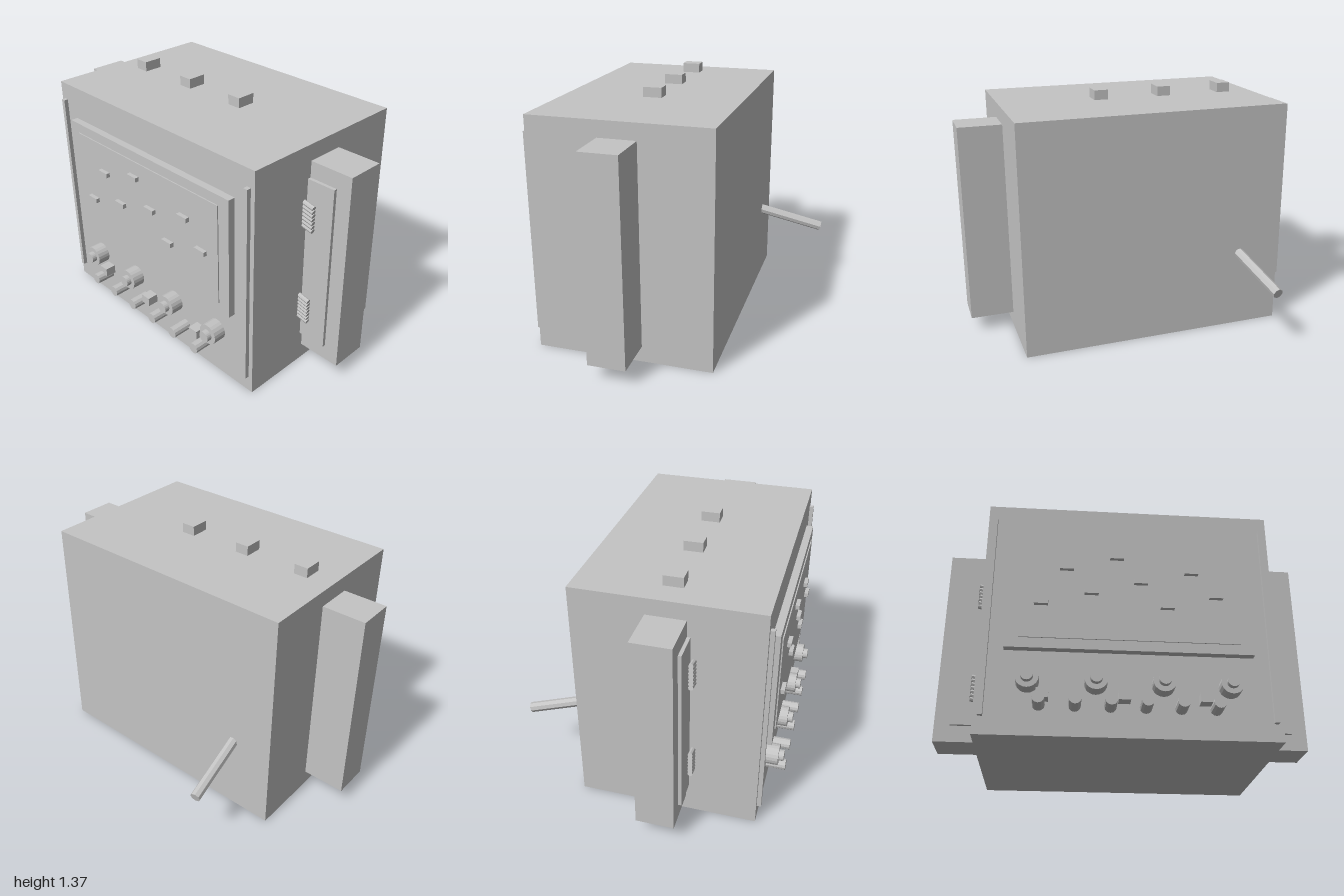
import * as THREE from 'three';

const grey = new THREE.MeshStandardMaterial({ color: 0xc4c4c4 });
grey.name = 'plain grey';
grey.flatShading = true;

export function createModel() {
  const group = new THREE.Group();

  function add(name, geometry) {
    const mesh = new THREE.Mesh(geometry, grey);
    mesh.name = name;
    group.add(mesh);
    return mesh;
  }
  // Box given by its limits on each axis
  function box(name, x0, x1, y0, y1, z0, z1) {
    const mesh = add(name, new THREE.BoxGeometry(x1 - x0, y1 - y0, z1 - z0));
    mesh.position.set((x0 + x1) / 2, (y0 + y1) / 2, (z0 + z1) / 2);
    return mesh;
  }
  // Cylinder between two points
  function rod(name, a, b, radius, sides) {
    const from = new THREE.Vector3(...a), to = new THREE.Vector3(...b);
    const dir = to.clone().sub(from);
    const mesh = add(name, new THREE.CylinderGeometry(radius, radius, dir.length(), sides));
    mesh.position.copy(from).add(to).multiplyScalar(0.5);
    mesh.quaternion.setFromUnitVectors(new THREE.Vector3(0, 1, 0), dir.normalize());
    return mesh;
  }

  const front = 0.629;

  // Cabinet
  box('cabinet', -0.757, 0.757, 0, 1.31, -0.356, front);

  // Blocks on the top
  for (const x of [-0.58, -0.2, 0.18]) {
    box('topBlock', x - 0.04, x + 0.04, 1.31, 1.365, 0.085, 0.19);
  }

  // Front display with a raised screen
  box('displayPanel', -0.63, 0.63, 0.445, 1.125, front, 0.669);
  box('screen', -0.56, 0.56, 0.5, 1.07, 0.669, 0.675);
  const buttons = [
    [-0.455, 0.695], [-0.33, 0.905], [-0.2, 0.765], [-0.07, 0.98],
    [0.055, 0.835], [0.19, 0.695], [0.32, 0.905], [0.445, 0.765],
  ];
  for (const [x, y] of buttons) {
    box('screenMarker', x - 0.036, x + 0.036, y - 0.0125, y + 0.0125, 0.675, 0.697);
  }

  // Dials in two steps
  for (const x of [-0.505, -0.17, 0.165, 0.5]) {
    rod('dial', [x, 0.277, front], [x, 0.277, 0.701], 0.058, 20);
    rod('dialCap', [x, 0.277, 0.701], [x, 0.277, 0.729], 0.031, 20);
  }

  // Switches and round pegs beneath the dials
  for (const x of [-0.43, -0.03, 0.37]) {
    box('switch', x - 0.03, x + 0.03, 0.175, 0.225, front, 0.69);
  }
  for (let i = 0; i < 6; i++) {
    const x = -0.445 + i * 0.174;
    rod('peg', [x, 0.158, front], [x, 0.158, 0.737], 0.031, 12);
  }

  // Matching parts on both sides
  for (const s of [-1, 1]) {
    const sideBox = (name, x0, x1, ...rest) =>
      box(name, Math.min(s * x0, s * x1), Math.max(s * x0, s * x1), ...rest);
    sideBox('frontStrip', 0.708, 0.732, 0.093, 1.215, front, 0.652);
    sideBox('sidePod', 0.757, 1, 0.09, 1.22, 0.034, 0.242);
    sideBox('sidePodPlate', 0.757, 0.917, 0.18, 1.13, 0.242, 0.26);

    // Two stacks of slanted rods per side
    for (const base of [0.376, 0.938]) {
      for (let i = 0; i < 7; i++) {
        const x = s * 0.787, y = base + (i - 3) * 0.0215;
        rod('hingeRod', [x - 0.032, y + 0.007, 0.279], [x + 0.032, y - 0.007, 0.279], 0.0135, 8);
      }
    }
  }

  // Slanted lever at the back
  rod('rearLever', [-0.505, 0.46, -0.3], [-0.564, 0.347, -0.73], 0.029, 8);

  return group;
}
